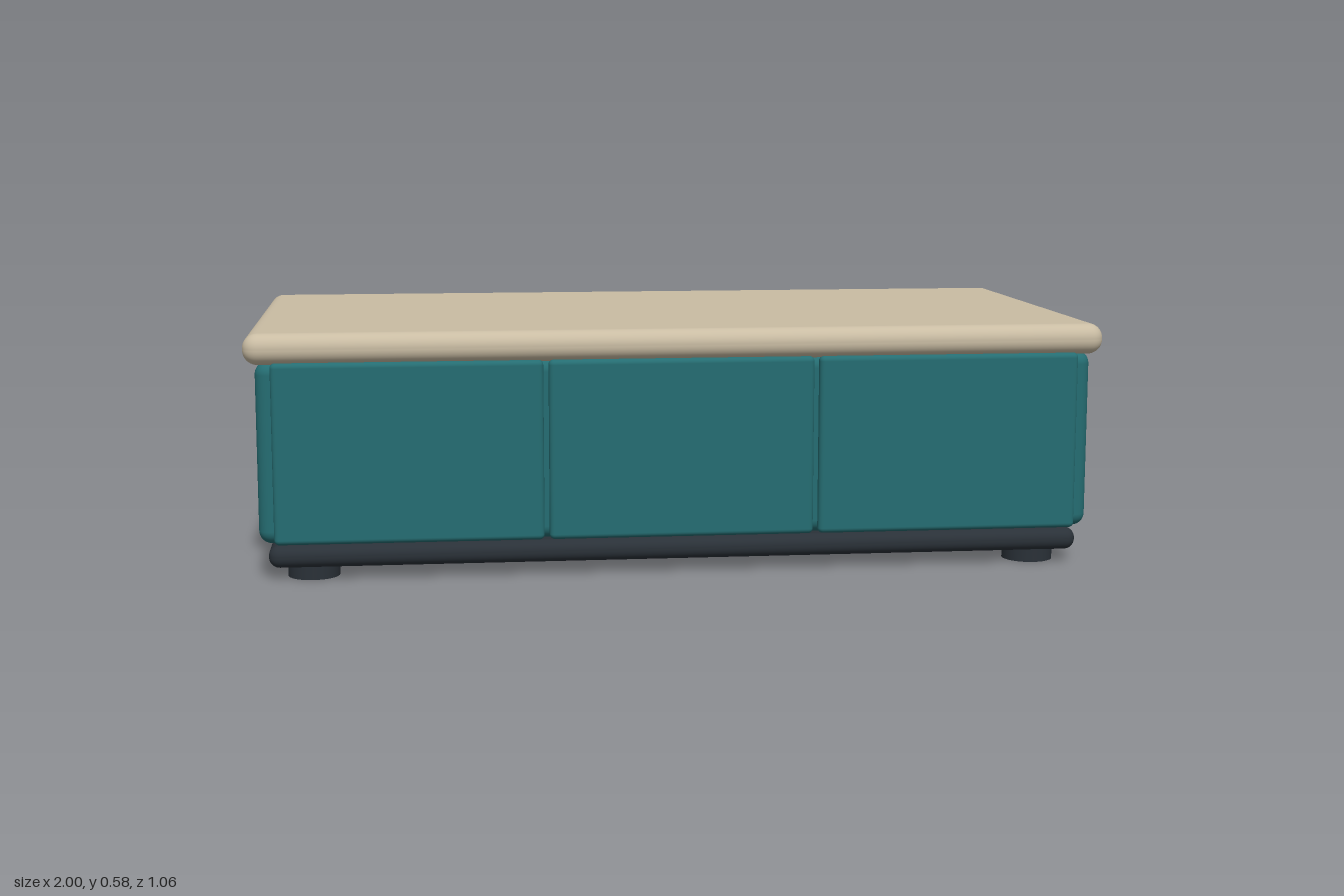
import * as THREE from 'three';
import { RoundedBoxGeometry } from 'three/addons/geometries/RoundedBoxGeometry.js';

const mat = (name, color) => new THREE.MeshStandardMaterial({ name, color });

export function createModel() {
  const group = new THREE.Group();
  group.name = 'lowCabinet';
  const teal = mat('teal paint', 0x256d72);
  const sand = mat('sand top', 0xc9bca3);
  const charcoal = mat('charcoal base', 0x2a3138);
  const brass = mat('brass', 0xc8902f);
  const paleBrass = mat('pale brass', 0xb39a66);

  const add = (name, geometry, material, x, y, z, parent = group) => {
    const mesh = new THREE.Mesh(geometry, material);
    mesh.name = name;
    mesh.position.set(x, y, z);
    parent.add(mesh);
    return mesh;
  };
  // Rounded box given by its extents on each axis
  const box = (name, material, [x0, x1], [y0, y1], [z0, z1], r) =>
    add(name, new RoundedBoxGeometry(x1 - x0, y1 - y0, z1 - z0, 5, r), material,
      (x0 + x1) / 2, (y0 + y1) / 2, (z0 + z1) / 2);

  // Main slabs
  box('tabletop', sand, [-1, 1], [0.505, 0.577], [-0.497, 0.531], 0.034);
  box('body', teal, [-0.975, 0.975], [0.09, 0.511], [-0.475, 0.508], 0.03);
  box('plinth', charcoal, [-0.955, 0.955], [0.03, 0.083], [-0.46, 0.497], 0.025);

  // Round feet
  const foot = new THREE.CylinderGeometry(0.06, 0.06, 0.034, 32);
  for (const x of [-0.855, 0.855])
    for (const z of [-0.38, 0.42]) add('foot', foot, charcoal, x, 0.017, z);

  // Closed stadium path for the pulls
  class Stadium extends THREE.Curve {
    getPoint(t, target = new THREE.Vector3()) {
      const h = 0.08, r = 0.031, arc = Math.PI * r, total = 4 * h + 2 * arc;
      let s = (t % 1) * total;
      const side = s < total / 2 ? 1 : -1;
      if (side < 0) s -= total / 2;
      if (s < 2 * h) return target.set(side * (s - h), -side * r, 0);
      const a = (s - 2 * h) / r - Math.PI / 2;
      return target.set(side * (h + r * Math.cos(a)), side * r * Math.sin(a), 0);
    }
  }
  const ring = new THREE.TubeGeometry(new Stadium(), 96, 0.0145, 12, true);
  const pin = new THREE.CylinderGeometry(0.009, 0.009, 0.022, 16).rotateX(Math.PI / 2);

  // Three bays: plain panels at the front, panels with pulls at the back
  for (const x of [-0.63, 0, 0.63]) {
    const span = [x - 0.309, x + 0.309];
    box('frontPanel', teal, span, [0.091, 0.51], [0.495, 0.525], 0.012);
    box('backPanel', teal, span, [0.091, 0.51], [-0.501, -0.46], 0.016);
    const pull = new THREE.Group();
    pull.name = 'pull';
    pull.position.set(x, 0.385, -0.516);
    add('pullRing', ring, brass, 0, 0, 0, pull);
    for (const px of [-0.075, 0.075]) add('pullPin', pin, brass, px, 0, 0.008, pull);
    group.add(pull);
  }

  // Small plain plate on the back
  add('plate', new THREE.BoxGeometry(0.125, 0.06, 0.009), paleBrass, 0.71, 0.203, -0.505);

  return group;
}
